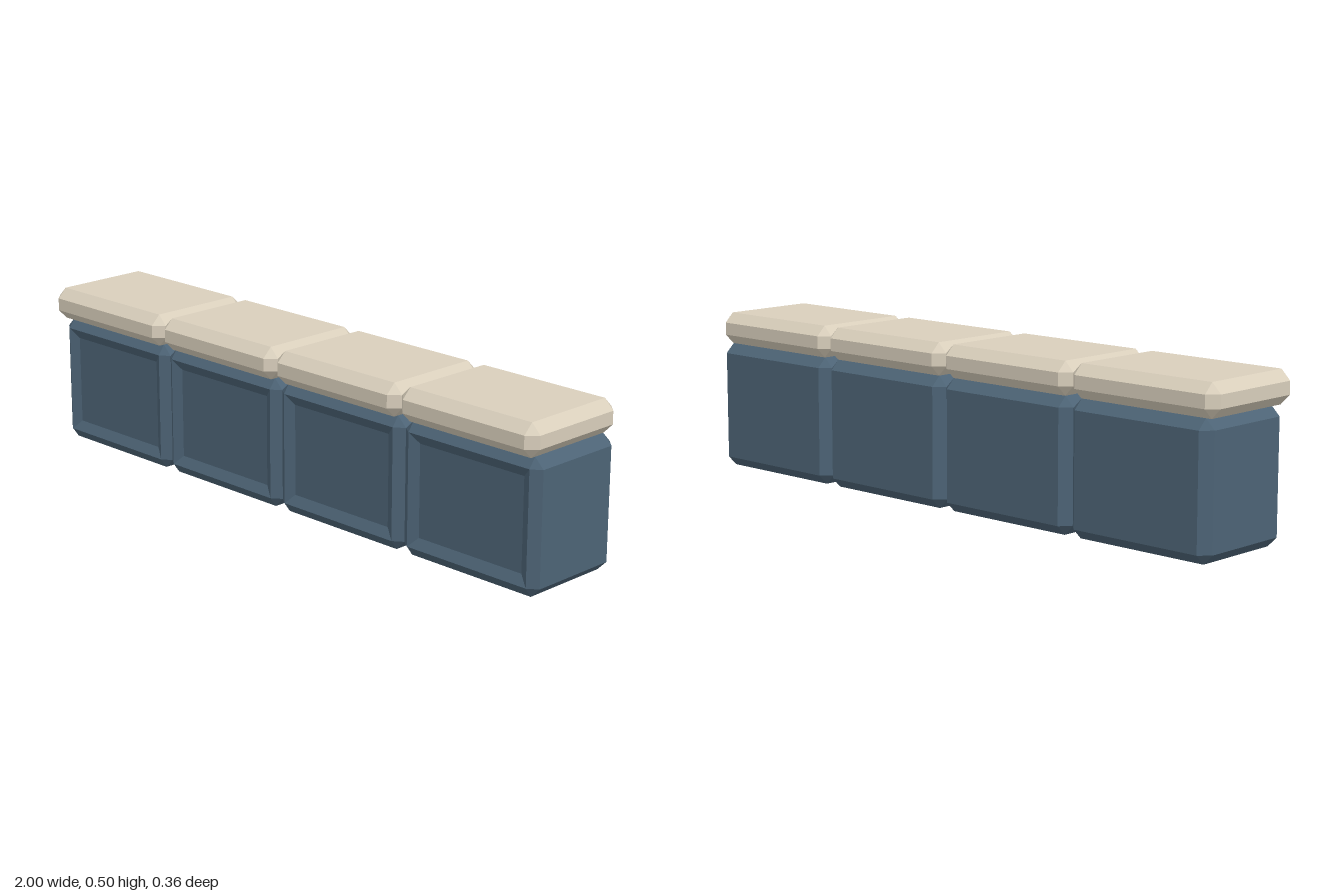
import * as THREE from 'three';

const BEVEL = 0.03;

// Box with all edges and corners chamfered; lo/hi are opposite corners.
// zFront is the chamfer depth on +z; recess > 0 sinks a sloped panel into the front face.
function chamferedBox(lo, hi, zFront = BEVEL, recess = 0) {
  const pos = [];
  const centre = lo.clone().add(hi).multiplyScalar(0.5);

  // Adds a convex polygon, wound so that it faces away from the centre
  const face = (...p) => {
    const normal = p[1].clone().sub(p[0]).cross(p[2].clone().sub(p[0]));
    if (normal.dot(p[0].clone().sub(centre)) < 0) p.reverse();
    for (let i = 1; i < p.length - 1; i++)
      for (const v of [p[0], p[i], p[i + 1]]) pos.push(v.x, v.y, v.z);
  };

  // Corner vertex with signs s that lies on the flat face of the given axis
  const corner = (s, axis) => {
    const v = new THREE.Vector3();
    for (let a = 0; a < 3; a++) {
      const b = a === 2 && s[2] > 0 ? zFront : BEVEL;
      const limit = (s[a] > 0 ? hi : lo).getComponent(a);
      v.setComponent(a, limit - (a === axis ? 0 : s[a] * b));
    }
    return v;
  };

  const loop = [[-1, -1], [1, -1], [1, 1], [-1, 1]];
  for (let a = 0; a < 3; a++) {
    const b = (a + 1) % 3, c = (a + 2) % 3;
    const signs = (sa, sb, sc) => {
      const s = [];
      s[a] = sa; s[b] = sb; s[c] = sc;
      return s;
    };
    // Flat faces, with the optional front recess
    for (const sa of [-1, 1]) {
      const ring = loop.map(([sb, sc]) => corner(signs(sa, sb, sc), a));
      if (a === 2 && sa > 0 && recess > 0) {
        const inner = loop.map(([sx, sy], i) =>
          ring[i].clone().add(new THREE.Vector3(-sx * BEVEL, -sy * BEVEL, -recess)));
        for (let i = 0; i < 4; i++) {
          const j = (i + 1) % 4;
          face(ring[i], ring[j], inner[j], inner[i]);
        }
        face(...inner);
      } else face(...ring);
    }
    // Edge chamfers running along axis a
    for (const [sb, sc] of loop) {
      const s0 = signs(-1, sb, sc), s1 = signs(1, sb, sc);
      face(corner(s0, b), corner(s1, b), corner(s1, c), corner(s0, c));
    }
  }
  // Corner triangles
  for (const x of [-1, 1]) for (const y of [-1, 1]) for (const z of [-1, 1])
    face(...[0, 1, 2].map(a => corner([x, y, z], a)));

  const geo = new THREE.BufferGeometry();
  geo.setAttribute('position', new THREE.Float32BufferAttribute(pos, 3));
  geo.computeVertexNormals();
  return geo;
}

export function createModel() {
  const group = new THREE.Group();
  const cabinetMat = new THREE.MeshStandardMaterial({ color: 0x4d6476, flatShading: true });
  const topMat = new THREE.MeshStandardMaterial({ color: 0xd9cfbc, flatShading: true });
  const width = 0.495;

  const add = (name, geo, mat) => {
    const mesh = new THREE.Mesh(geo, mat);
    mesh.name = name;
    group.add(mesh);
  };

  // Row of four cabinets, each with its own worktop slab
  for (let i = 0; i < 4; i++) {
    const x1 = 1 - i * width, x0 = x1 - width;
    add('cabinet' + (i + 1), chamferedBox(
      new THREE.Vector3(x0, 0, -0.18), new THREE.Vector3(x1, 0.398, 0.157), 0.022, 0.016), cabinetMat);
    // The end slab overhangs the last cabinet
    add('worktop' + (i + 1), chamferedBox(
      new THREE.Vector3(i === 3 ? -1 : x0, 0.398, -0.182), new THREE.Vector3(x1, 0.497, 0.182)), topMat);
  }
  return group;
}
